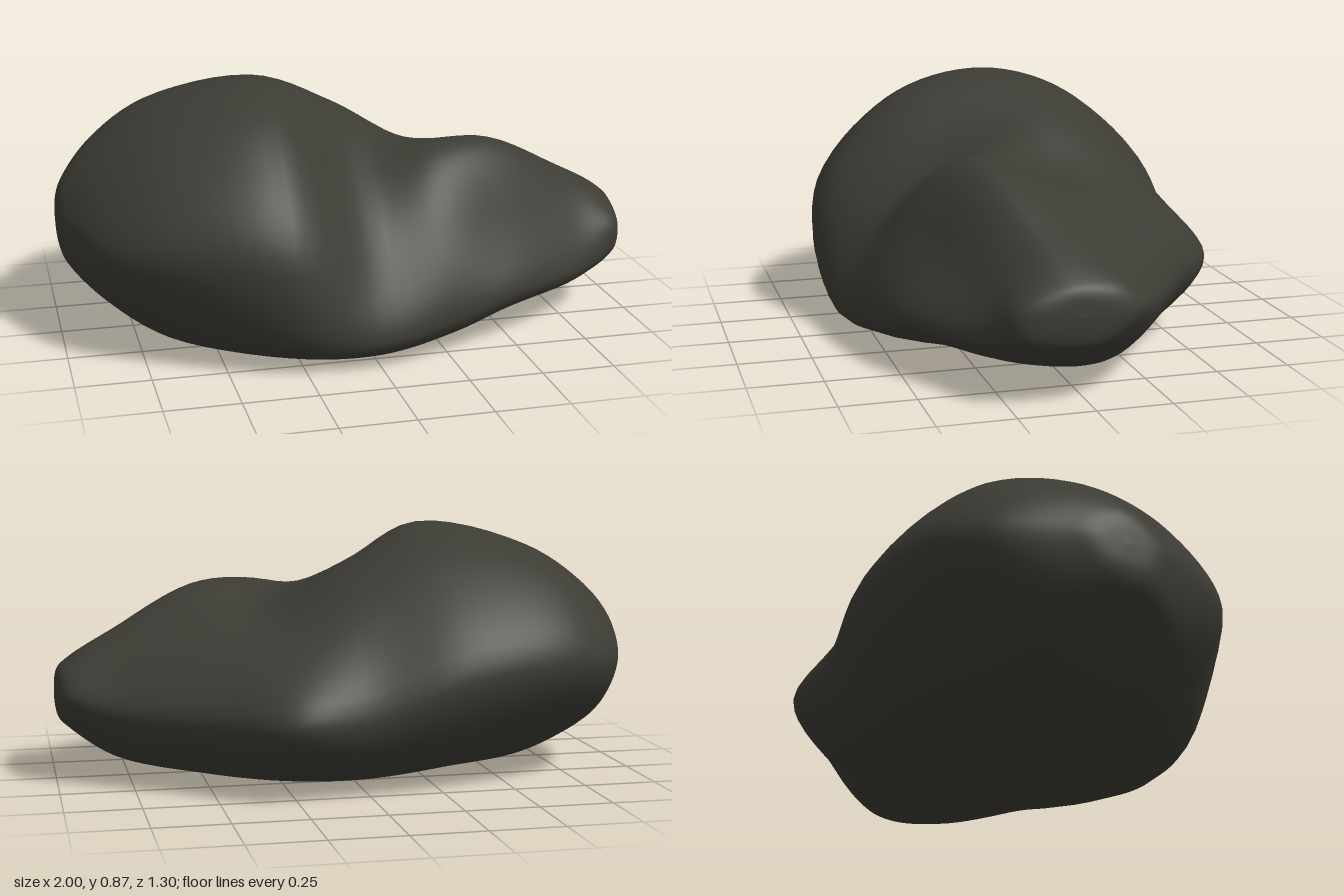
import * as THREE from 'three';

// Stations along x, and at each a loop of eight [z, y] points:
// bottom, lower back, back, upper back, crest, upper front, front, lower front
const stations = [-0.97, -0.86, -0.66, -0.3, 0, 0.27, 0.5, 0.8, 0.955];
const sections = [
  [[0, .27], [-.13, .30], [-.21, .42], [-.16, .50], [-.03, .545], [.08, .50], [.15, .41], [.1, .29]],
  [[0, .17], [-.26, .21], [-.45, .42], [-.31, .59], [-.05, .665], [.2, .585], [.37, .39], [.22, .19]],
  [[.06, .03], [-.3, .125], [-.58, .43], [-.38, .70], [-.05, .795], [.28, .71], [.53, .42], [.34, .09]],
  [[0, .015], [-.44, .10], [-.645, .40], [-.36, .75], [-.01, .872], [.36, .765], [.64, .42], [.575, .075]],
  [[0, .008], [-.46, .065], [-.625, .28], [-.40, .62], [-.1, .745], [.27, .58], [.51, .35], [.61, .075]],
  [[0, .012], [-.45, .07], [-.645, .27], [-.38, .51], [-.04, .605], [.25, .655], [.45, .43], [.55, .11]],
  [[0, .03], [-.32, .08], [-.475, .27], [-.30, .465], [-.02, .59], [.21, .645], [.38, .40], [.49, .17]],
  [[.05, .085], [-.14, .11], [-.27, .27], [-.17, .405], [0, .49], [.14, .49], [.28, .33], [.325, .18]],
  [[.06, .18], [-.06, .20], [-.165, .30], [-.11, .375], [0, .41], [.12, .40], [.24, .32], [.23, .22]],
];

// Shrinks an end section towards its middle to round off the tip
function shrink(section, k) {
  const cz = section.reduce((s, p) => s + p[0], 0) / section.length;
  const cy = section.reduce((s, p) => s + p[1], 0) / section.length;
  return section.map(([z, y]) => [cz + (z - cz) * k, cy + (y - cy) * k]);
}

function boulderGeometry(lengthSteps, roundSteps) {
  const first = sections[0], last = sections[sections.length - 1];
  const xs = [-1, -0.993, ...stations, 0.988, 1];
  const loops = [shrink(first, 0), shrink(first, 0.6), ...sections, shrink(last, 0.7), shrink(last, 0)];

  // Eight smooth rails run end to end; closed loops are drawn across them
  const rails = first.map((_, k) => new THREE.CatmullRomCurve3(
    loops.map((loop, i) => new THREE.Vector3(xs[i], loop[k][1], loop[k][0]))));
  const positions = [], indices = [];
  for (let i = 0; i <= lengthSteps; i++) {
    const across = rails.map((rail) => rail.getPoint(i / lengthSteps));
    const loop = new THREE.CatmullRomCurve3(across, true);
    const tip = i === 0 || i === lengthSteps;
    for (let j = 0; j < roundSteps; j++) {
      const p = tip ? across[0] : loop.getPoint(j / roundSteps);
      positions.push(p.x, p.y, p.z);
      if (i === lengthSteps) continue;
      const a = i * roundSteps + j, b = i * roundSteps + (j + 1) % roundSteps;
      const c = a + roundSteps, d = b + roundSteps;
      if (i > 0) indices.push(a, b, c);
      if (i < lengthSteps - 1) indices.push(b, d, c);
    }
  }
  const geometry = new THREE.BufferGeometry();
  geometry.setAttribute('position', new THREE.Float32BufferAttribute(positions, 3));
  geometry.setIndex(indices);

  // Centre it and stand it on the ground
  geometry.computeBoundingBox();
  const mid = geometry.boundingBox.getCenter(new THREE.Vector3());
  geometry.translate(-mid.x, -geometry.boundingBox.min.y, -mid.z);
  geometry.computeVertexNormals();
  return geometry;
}

export function createModel() {
  const group = new THREE.Group();
  group.name = 'rock';
  const stone = new THREE.MeshStandardMaterial({ color: 0x3c3b34 });
  stone.name = 'dark stone';
  const boulder = new THREE.Mesh(boulderGeometry(72, 64), stone);
  boulder.name = 'boulder';
  group.add(boulder);
  return group;
}
